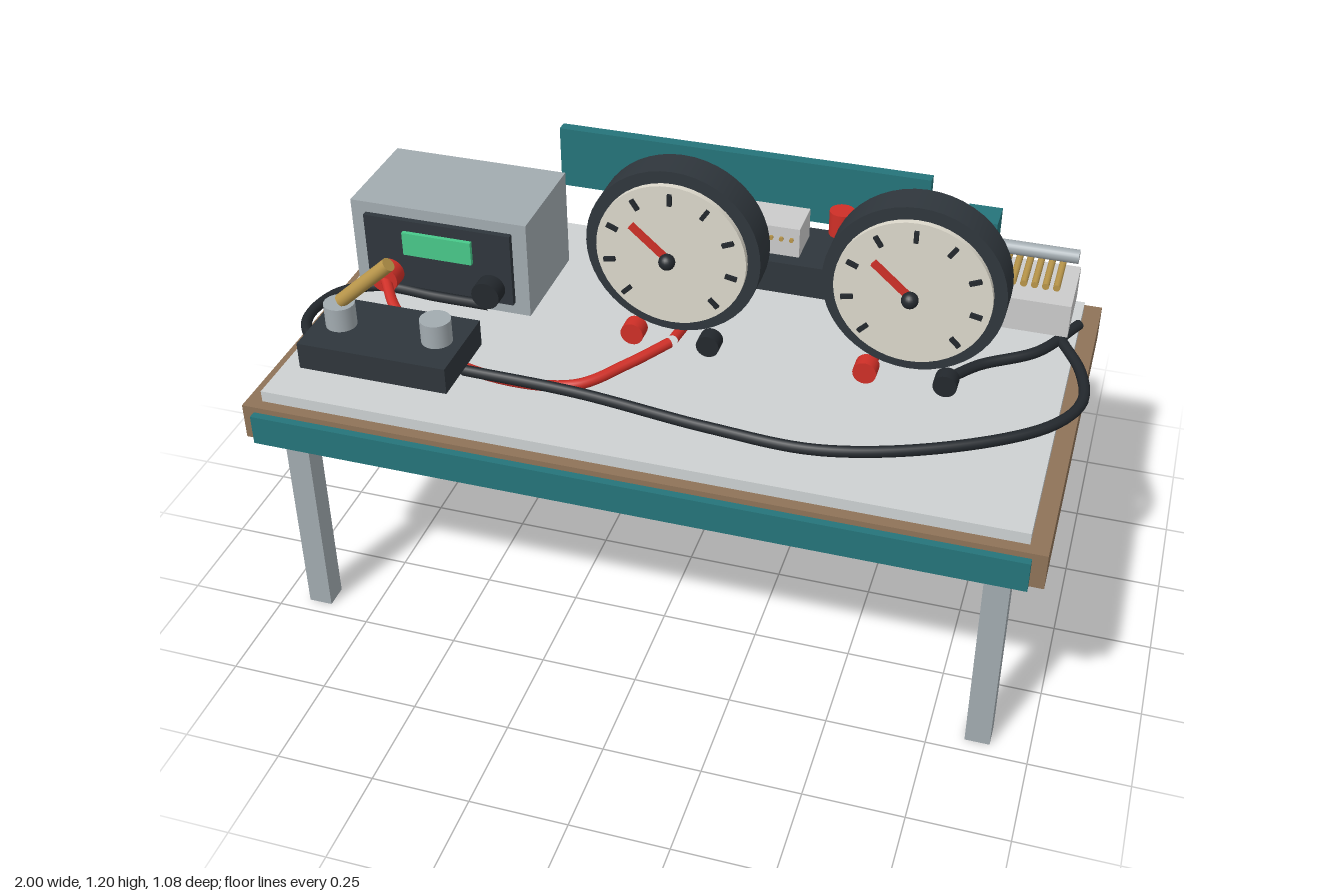
import * as THREE from 'three';

const mat = (color) => new THREE.MeshStandardMaterial({ color });
const M = {
  wood: mat(0x8f7358), teal: mat(0x25747a), board: mat(0xcdd1d2), metal: mat(0xa2abb0),
  dark: mat(0x2f363c), black: mat(0x23282d), face: mat(0xdcd8cb), red: mat(0xcf2f27),
  brass: mat(0xb9964a), green: mat(0x48c98a), pale: mat(0xd9dbdb),
};

function add(parent, name, geometry, material, x = 0, y = 0, z = 0) {
  const mesh = new THREE.Mesh(geometry, material);
  mesh.name = name;
  mesh.position.set(x, y, z);
  parent.add(mesh);
  return mesh;
}

// Box given by its extents on each axis
function box(parent, name, material, [x0, x1], [y0, y1], [z0, z1]) {
  return add(parent, name, new THREE.BoxGeometry(x1 - x0, y1 - y0, z1 - z0), material,
    (x0 + x1) / 2, (y0 + y1) / 2, (z0 + z1) / 2);
}

// Cylinder between two points
function rod(parent, name, material, a, b, r, sides = 24) {
  const p = new THREE.Vector3(...a), q = new THREE.Vector3(...b);
  const dir = q.clone().sub(p);
  const mesh = add(parent, name, new THREE.CylinderGeometry(r, r, dir.length(), sides), material);
  mesh.position.copy(p).add(q).multiplyScalar(0.5);
  mesh.quaternion.setFromUnitVectors(new THREE.Vector3(0, 1, 0), dir.normalize());
  return mesh;
}

function wire(parent, name, material, points) {
  const curve = new THREE.CatmullRomCurve3(points.map((p) => new THREE.Vector3(...p)));
  return add(parent, name, new THREE.TubeGeometry(curve, 64, 0.014, 10), material);
}

function group(parent, name) {
  const g = new THREE.Group();
  g.name = name;
  parent.add(g);
  return g;
}

function buildTable(root) {
  const g = group(root, 'table');
  box(g, 'tableTop', M.wood, [-1, 0.98], [0.575, 0.67], [-0.54, 0.52]);
  box(g, 'frontBand', M.teal, [-0.97, 0.945], [0.575, 0.655], [0.52, 0.54]);
  box(g, 'workBoard', M.board, [-0.96, 0.935], [0.67, 0.7], [-0.505, 0.49]);
  for (const x of [-0.9, 0.872])
    for (const z of [-0.445, 0.432])
      box(g, 'leg', M.metal, [x - 0.031, x + 0.031], [0, 0.575], [z - 0.031, z + 0.031]);
}

function buildPowerSupply(root) {
  const g = group(root, 'powerSupply');
  box(g, 'case', M.metal, [-0.93, -0.445], [0.7, 0.97], [-0.315, -0.02]);
  box(g, 'frontPanel', M.dark, [-0.89, -0.485], [0.735, 0.94], [-0.02, -0.004]);
  box(g, 'display', M.green, [-0.78, -0.59], [0.845, 0.91], [-0.004, 0.008]);
  rod(g, 'positiveTerminal', M.red, [-0.827, 0.78, -0.004], [-0.827, 0.78, 0.042], 0.038);
  rod(g, 'negativeTerminal', M.black, [-0.543, 0.78, -0.004], [-0.543, 0.78, 0.042], 0.038);
}

function buildPlugKey(root) {
  const g = group(root, 'plugKey');
  box(g, 'keyBase', M.dark, [-0.88, -0.49], [0.744, 0.815], [0.2, 0.425]);
  for (const x of [-0.813, -0.557])
    rod(g, 'keyPost', M.metal, [x, 0.815, 0.312], [x, 0.878, 0.312], 0.039);
  rod(g, 'plug', M.brass, [-0.806, 0.885, 0.312], [-0.666, 1.013, 0.312], 0.018);
}

function buildMeter(root, name, x) {
  const g = group(root, name);
  g.position.set(x, 0.975, 0);
  rod(g, 'meterCase', M.dark, [0, 0, -0.088], [0, 0, 0.004], 0.225, 48);
  rod(g, 'dial', M.face, [0, 0, 0.004], [0, 0, 0.02], 0.193, 48);
  // Scale marks sweep three quarters of a turn
  for (let i = 0; i < 9; i++) {
    const a = THREE.MathUtils.degToRad(225 - i * 33.75);
    const tick = add(g, 'scaleMark', new THREE.BoxGeometry(0.03, 0.011, 0.008), M.black,
      0.16 * Math.cos(a), 0.16 * Math.sin(a), 0.027);
    tick.rotation.z = a;
  }
  const needle = add(g, 'needle', new THREE.BoxGeometry(0.13, 0.016, 0.012), M.red, -0.046, 0.04, 0.04);
  needle.rotation.z = THREE.MathUtils.degToRad(139);
  add(g, 'pivot', new THREE.SphereGeometry(0.021, 20, 14), M.black, 0, 0, 0.05);
  rod(g, 'positiveTerminal', M.red, [-0.1, -0.24, -0.006], [-0.1, -0.24, 0.036], 0.03);
  rod(g, 'negativeTerminal', M.black, [0.1, -0.24, -0.006], [0.1, -0.24, 0.036], 0.03);
}

function buildResistor(root) {
  const g = group(root, 'resistor');
  box(g, 'resistorBase', M.dark, [-0.275, 0.325], [0.745, 0.835], [-0.45, -0.25]);
  box(g, 'resistorBlock', M.pale, [-0.16, 0.205], [0.835, 0.918], [-0.405, -0.29]);
  // Winding showing at both long edges of the block
  for (let i = 0; i < 13; i++) {
    const x = -0.14 + i * 0.027;
    rod(g, 'winding', M.brass, [x, 0.885, -0.412], [x, 0.885, -0.283], 0.006, 8);
  }
  for (const x of [-0.252, 0.302])
    rod(g, 'resistorTerminal', M.red, [x, 0.893, -0.348], [x, 0.96, -0.348], 0.033);
}

function buildRheostat(root) {
  const g = group(root, 'rheostat');
  box(g, 'rheostatBase', M.pale, [0.405, 0.915], [0.747, 0.838], [-0.45, -0.25]);
  for (let i = 0; i < 16; i++) {
    const x = 0.458 + i * 0.0275;
    rod(g, 'coilTurn', M.brass, [x, 0.868, -0.418], [x, 0.868, -0.278], 0.009, 10);
  }
  rod(g, 'slideRod', M.metal, [0.415, 0.927, -0.348], [0.912, 0.927, -0.348], 0.018);
  box(g, 'slider', M.teal, [0.62, 0.705], [0.925, 1.01], [-0.39, -0.305]);
}

function buildWires(root) {
  const g = group(root, 'wires');
  wire(g, 'supplyToAmmeter', M.red, [[-0.827, 0.775, 0.03], [-0.76, 0.75, 0.12], [-0.6, 0.72, 0.235],
    [-0.4, 0.712, 0.285], [-0.22, 0.715, 0.26], [-0.12, 0.725, 0.15], [-0.045, 0.735, 0.045]]);
  wire(g, 'ammeterToResistor', M.red, [[-0.04, 0.735, 0.03], [-0.03, 0.73, -0.1],
    [-0.035, 0.73, -0.2], [-0.06, 0.73, -0.27]]);
  wire(g, 'resistorToVoltmeter', M.red, [[0.3, 0.73, -0.35], [0.4, 0.73, -0.3],
    [0.46, 0.73, -0.22], [0.47, 0.73, -0.1], [0.455, 0.735, 0]]);
  wire(g, 'resistorToRheostat', M.red, [[0.3, 0.73, -0.35], [0.36, 0.73, -0.44],
    [0.46, 0.73, -0.49], [0.66, 0.73, -0.472]]);
  wire(g, 'keyToRheostat', M.black, [[-0.5, 0.73, 0.3], [-0.2, 0.73, 0.31], [0.15, 0.73, 0.355],
    [0.42, 0.73, 0.365], [0.7, 0.73, 0.27], [0.92, 0.73, 0.12], [0.983, 0.73, 0],
    [0.965, 0.73, -0.13], [0.9, 0.73, -0.26]]);
  wire(g, 'voltmeterToRheostat', M.black, [[0.655, 0.735, 0], [0.72, 0.73, -0.09],
    [0.85, 0.73, -0.19], [0.935, 0.73, -0.345]]);
  wire(g, 'supplyToKey', M.black, [[-0.85, 0.73, 0.29], [-0.94, 0.73, 0.26], [-0.977, 0.73, 0.18],
    [-0.95, 0.73, 0.06], [-0.86, 0.73, 0], [-0.7, 0.73, 0.005], [-0.543, 0.74, 0.02]]);
}

export function createModel() {
  const root = new THREE.Group();
  root.name = 'circuitBench';
  buildTable(root);
  buildPowerSupply(root);
  buildPlugKey(root);
  buildMeter(root, 'ammeter', -0.048);
  buildMeter(root, 'voltmeter', 0.555);
  buildResistor(root);
  buildRheostat(root);
  buildWires(root);
  box(root, 'backSign', M.teal, [-0.522, 0.505], [0.832, 1.006], [-0.518, -0.487]);
  return root;
}
